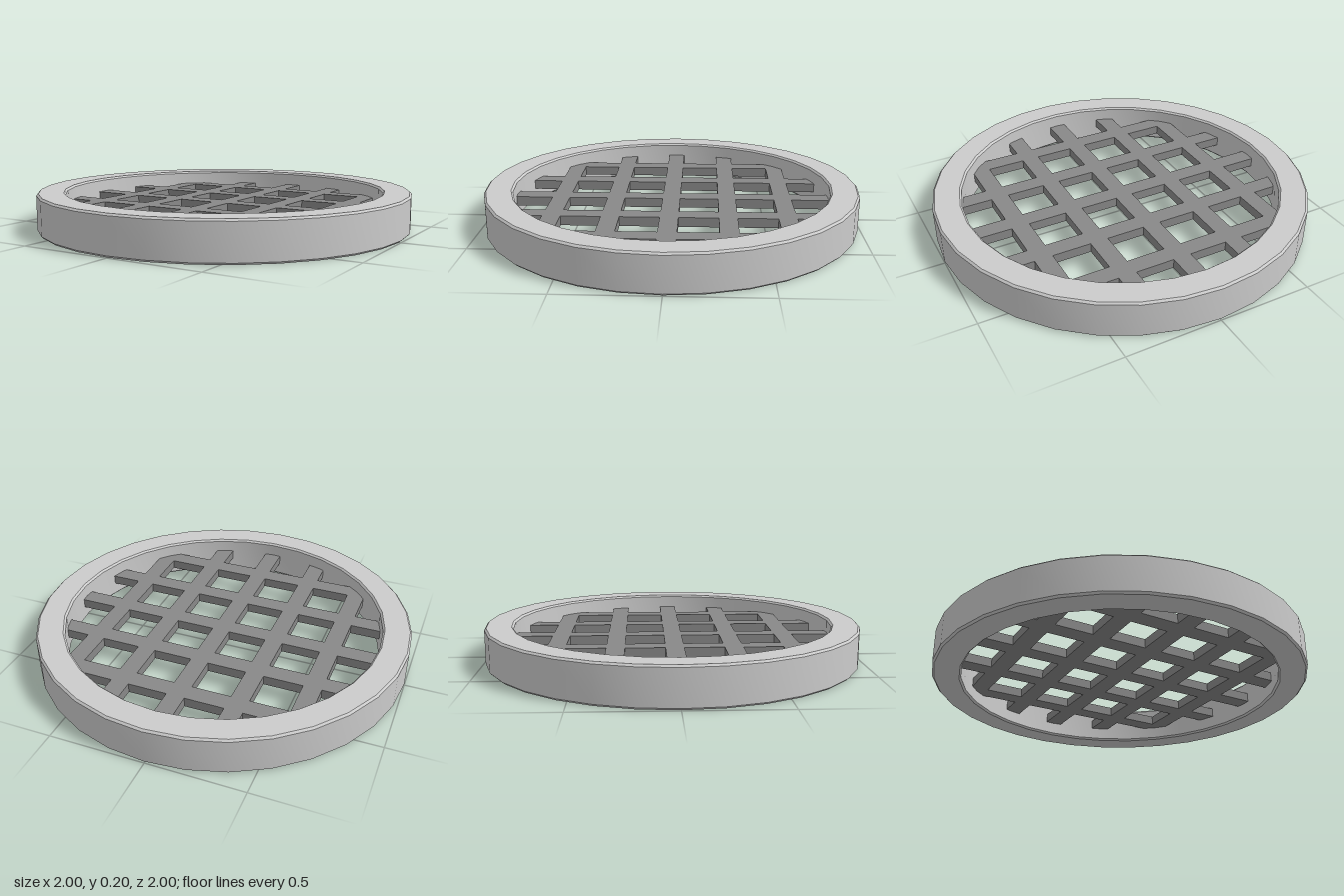
import * as THREE from 'three';
import { toCreasedNormals } from 'three/addons/utils/BufferGeometryUtils.js';

export function createModel() {
  const model = new THREE.Group();
  model.name = 'roundGrate';
  const rimMaterial = new THREE.MeshStandardMaterial({ color: 0xcccccc });
  const barMaterial = new THREE.MeshStandardMaterial({ color: 0x888888 });

  // Rim: a closed rectangular profile with small bevels, turned round y
  const inner = 0.85, outer = 1, height = 0.2, bevel = 0.01;
  const profile = [
    [inner + bevel, 0], [outer - bevel, 0],
    [outer, bevel], [outer, height - bevel],
    [outer - bevel, height], [inner + bevel, height],
    [inner, height - bevel], [inner, bevel],
    [inner + bevel, 0],
  ].map(([x, y]) => new THREE.Vector2(x, y));
  const rimGeometry = toCreasedNormals(new THREE.LatheGeometry(profile, 32), Math.PI / 6);
  const rim = new THREE.Mesh(rimGeometry, rimMaterial);
  rim.name = 'rim';
  model.add(rim);

  // Lattice: crossing flat bars at mid height, ends buried in the rim
  const lattice = new THREE.Group();
  lattice.name = 'lattice';
  const barWidth = 0.095, barThickness = 0.05, reach = 0.92;
  for (const alongX of [true, false]) {
    for (let i = -2; i <= 2; i++) {
      const offset = i * 0.3;
      const length = 2 * Math.sqrt(reach * reach - offset * offset);
      const bar = new THREE.Mesh(
        new THREE.BoxGeometry(alongX ? length : barWidth, barThickness, alongX ? barWidth : length),
        barMaterial
      );
      bar.position.set(alongX ? 0 : offset, height / 2, alongX ? offset : 0);
      bar.name = alongX ? 'crossBar' : 'lengthBar';
      lattice.add(bar);
    }
  }
  model.add(lattice);

  return model;
}
